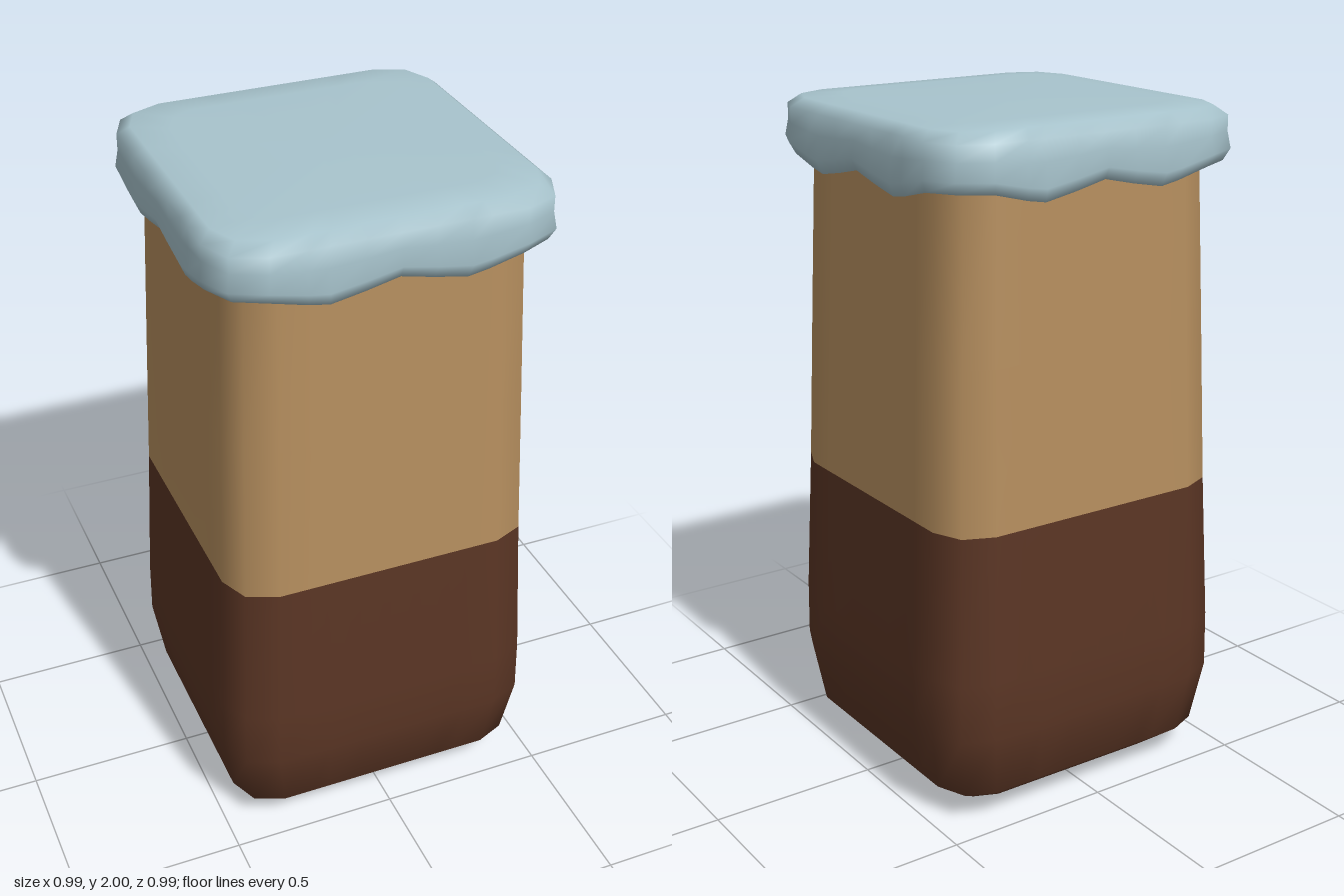
import * as THREE from 'three';

// One face of the rounded-square section: position along the face, inset from it, hem drop
const FACE = [
  [-0.92, 0.92, 0], [-0.73, 1, -0.004], [-0.52, 1, -0.03], [-0.4, 1, -0.04], [-0.2, 1, -0.022],
  [0, 1, 0], [0.2, 1, -0.022], [0.4, 1, -0.04], [0.52, 1, -0.03], [0.73, 1, -0.004],
];

// Repeat the face on all four sides, as [x, z, drop]
const SECTION = [];
for (let k = 0; k < 4; k++) {
  const c = Math.round(Math.cos(k * Math.PI / 2)), s = Math.round(Math.sin(k * Math.PI / 2));
  for (const [u, r, drop] of FACE) SECTION.push([r * c - u * s, r * s + u * c, drop]);
}

// Skin rings of [half width, height, hem weight]; the rows from `split` up get material 1
function loft(rings, split = Infinity) {
  const n = SECTION.length, pos = [], index = [];
  for (const [h, y, w = 0] of rings)
    for (const [x, z, drop] of SECTION) pos.push(x * h, y + drop * w, z * h);
  for (let i = 0; i < rings.length - 1; i++)
    for (let j = 0; j < n; j++) {
      const a = i * n + j, b = i * n + (j + 1) % n;
      index.push(a, a + n, b, b, a + n, b + n);
    }
  const geo = new THREE.BufferGeometry();
  geo.setAttribute('position', new THREE.Float32BufferAttribute(pos, 3));
  geo.setIndex(index);
  geo.computeVertexNormals();
  const cut = Math.min(split * n * 6, index.length);
  geo.addGroup(0, cut, 0);
  if (cut < index.length) geo.addGroup(cut, index.length - cut, 1);
  return geo;
}

export function createModel() {
  const mat = (name, color) => new THREE.MeshStandardMaterial({ name, color });
  const darkBrown = mat('dark brown', 0x5a3524);
  const tan = mat('tan', 0xb58e5e);
  const paleBlue = mat('pale blue', 0xa8c4cd);
  const group = new THREE.Group();
  group.name = 'coveredJar';

  // Tapered body: dark lower half, tan upper half
  const body = new THREE.Mesh(loft([
    [0.001, 0], [0.2, 0.002], [0.36, 0.015], [0.455, 0.09], [0.486, 0.28], [0.484, 0.45],
    [0.465, 0.89], [0.448, 1.36], [0.43, 1.84], [0.428, 1.92],
  ], 6), [darkBrown, tan]);
  body.name = 'body';

  // Soft lid with a scalloped hem
  const lid = new THREE.Mesh(loft([
    [0.42, 1.865, 1], [0.45, 1.843, 1], [0.48, 1.838, 1], [0.496, 1.872, 0.9], [0.488, 1.92, 0.4],
    [0.488, 1.965], [0.455, 1.992], [0.36, 2], [0.001, 2],
  ]), paleBlue);
  lid.name = 'lid';

  group.add(body, lid);
  return group;
}
